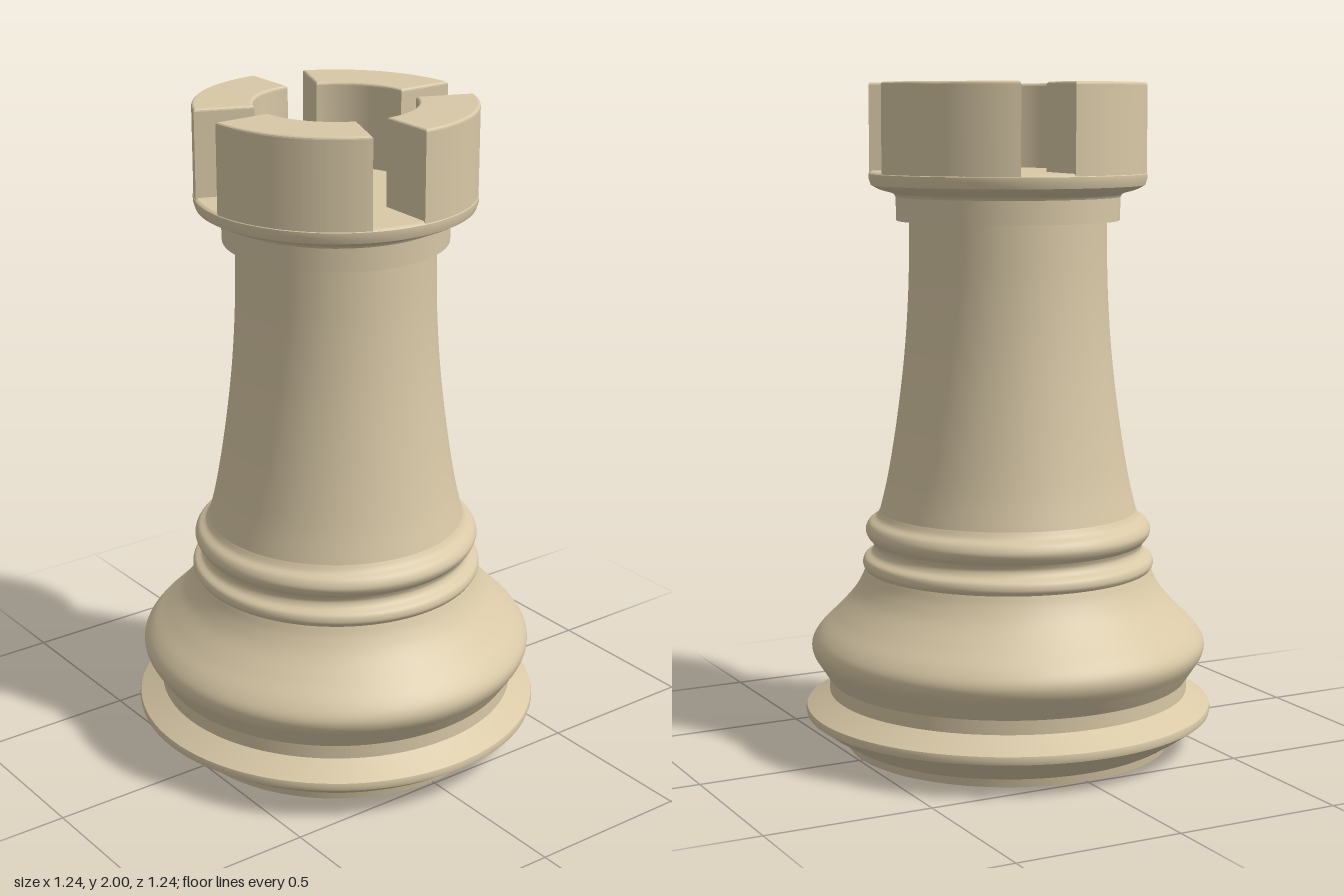
import * as THREE from 'three';

const SIDES = 96;
const wood = new THREE.MeshStandardMaterial({ color: 0xd8c8a6 });

// Smooth turned section; each section ends at a crisp edge.
function turned(name, profile, curved = false) {
  let pts = profile.map(([r, y]) => new THREE.Vector2(r, y));
  if (curved) pts = new THREE.SplineCurve(pts).getPoints(pts.length * 5);
  const mesh = new THREE.Mesh(new THREE.LatheGeometry(pts, SIDES), wood);
  mesh.name = name;
  return mesh;
}

// One battlement block: a ring sector with slightly softened edges.
function battlement(inner, outer, bottom, top, start, end) {
  const bevel = 0.008;
  const a = bevel / outer, b = bevel / inner;
  const shape = new THREE.Shape();
  shape.absarc(0, 0, outer - bevel, start + a, end - a, false);
  shape.absarc(0, 0, inner + bevel, end - b, start + b, true);
  shape.closePath();
  const geo = new THREE.ExtrudeGeometry(shape, {
    depth: top - bottom - bevel, curveSegments: 24,
    bevelEnabled: true, bevelSize: bevel, bevelThickness: bevel, bevelSegments: 3,
  });
  geo.rotateX(Math.PI / 2);
  geo.translate(0, top - bevel, 0);
  return new THREE.Mesh(geo, wood);
}

export function createModel() {
  const model = new THREE.Group();
  model.name = 'rook';

  // Foot and flared base rim
  model.add(turned('underside', [[0, 0], [0.49, 0]]));
  model.add(turned('foot', [[0.49, 0], [0.495, 0.025]]));
  model.add(turned('baseRimUnderside', [[0.495, 0.025], [0.515, 0.035], [0.565, 0.067], [0.615, 0.103]]));
  model.add(turned('baseRim', [[0.615, 0.103], [0.618, 0.115], [0.615, 0.127]]));
  model.add(turned('baseRimTop', [[0.615, 0.127], [0.58, 0.148], [0.545, 0.17]]));
  model.add(turned('baseGroove', [[0.545, 0.17], [0.545, 0.212]]));

  // Bulging lower body
  model.add(turned('bulge', [[0.545, 0.212], [0.57, 0.25], [0.594, 0.29], [0.596, 0.325],
    [0.572, 0.363], [0.525, 0.41], [0.475, 0.465], [0.447, 0.51], [0.433, 0.545]], true));

  // Two beads below the shaft
  model.add(turned('lowerBead', [[0.433, 0.545], [0.441, 0.56], [0.436, 0.58], [0.415, 0.595], [0.407, 0.612],
    [0.412, 0.628]], true));
  model.add(turned('upperBead', [[0.412, 0.628], [0.426, 0.645], [0.432, 0.665], [0.422, 0.687],
    [0.4, 0.703], [0.388, 0.722]], true));

  // Tapered shaft
  model.add(turned('shaft', [[0.388, 0.722], [0.363, 0.83], [0.335, 1.0], [0.311, 1.2],
    [0.298, 1.4], [0.295, 1.595]], true));

  // Collar and projecting ledge under the battlements
  model.add(turned('collarUnderside', [[0.295, 1.595], [0.333, 1.595]]));
  model.add(turned('collar', [[0.333, 1.595], [0.335, 1.665]]));
  model.add(turned('ledgeUnderside', [[0.335, 1.665], [0.345, 1.676], [0.38, 1.686], [0.408, 1.7]], true));
  model.add(turned('ledge', [[0.408, 1.7], [0.414, 1.718], [0.414, 1.733]]));
  model.add(turned('crownFloor', [[0.414, 1.733], [0.405, 1.742], [0, 1.745]]));

  // Four battlements separated by narrow radial slots
  const crown = new THREE.Group();
  crown.name = 'battlements';
  for (let i = 0; i < 4; i++) {
    const start = i * Math.PI / 2;
    const block = battlement(0.237, 0.412, 1.73, 2, start + Math.PI / 8, start + Math.PI / 2);
    block.name = 'battlement' + (i + 1);
    crown.add(block);
  }
  model.add(crown);
  return model;
}
